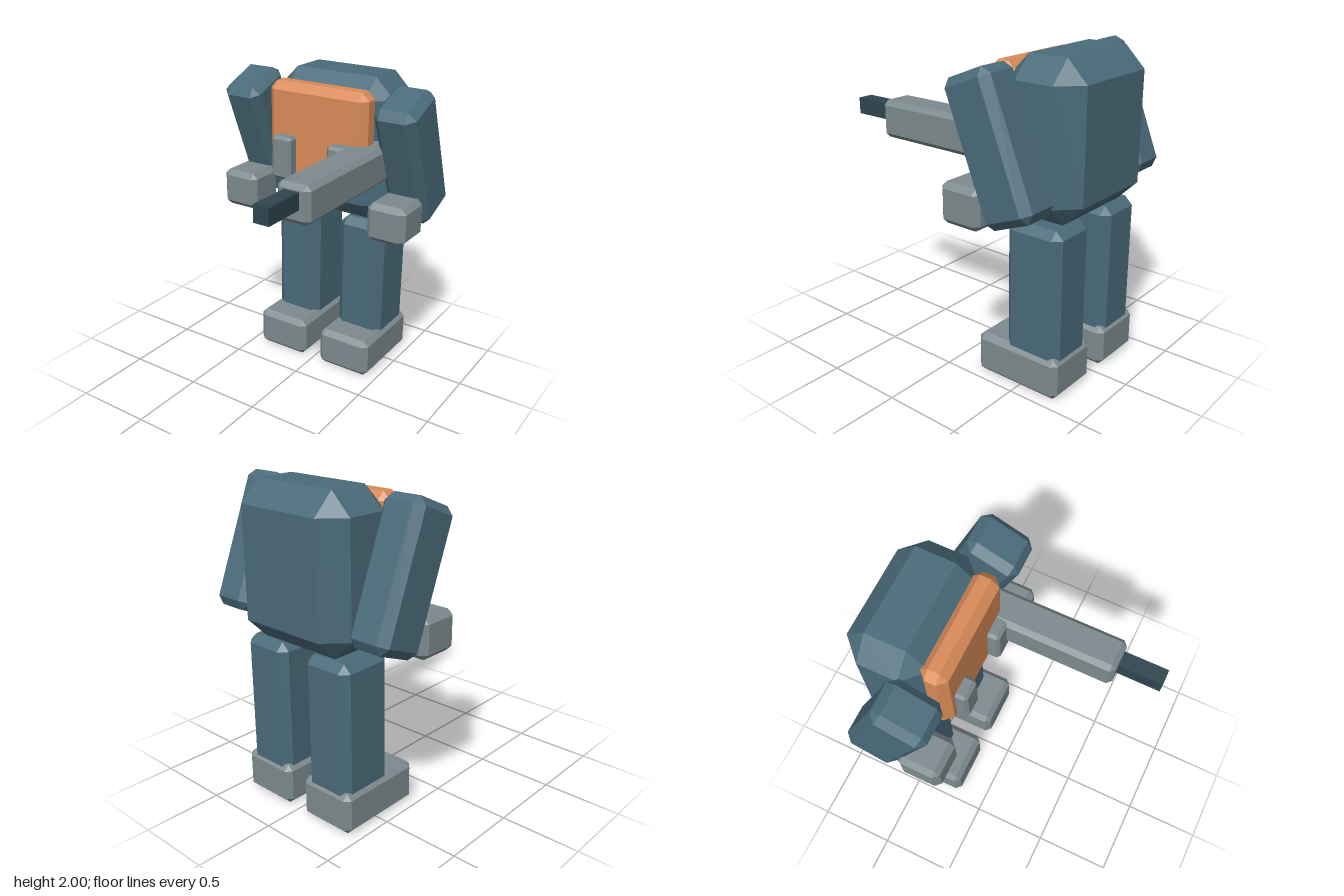
import * as THREE from 'three';
import { ConvexGeometry } from 'three/addons/geometries/ConvexGeometry.js';

function material(name, color) {
  const m = new THREE.MeshStandardMaterial({ color });
  m.name = name;
  return m;
}

// Box with every edge bevelled: three points around each corner
function bevelBox(w, h, d, c) {
  const points = [];
  for (const x of [-1, 1]) for (const y of [-1, 1]) for (const z of [-1, 1]) {
    for (let axis = 0; axis < 3; axis++) {
      const inset = [c, c, c];
      inset[axis] = 0;
      points.push(new THREE.Vector3(
        x * (w / 2 - inset[0]), y * (h / 2 - inset[1]), z * (d / 2 - inset[2])));
    }
  }
  return new ConvexGeometry(points);
}

export function createModel() {
  const model = new THREE.Group();
  model.name = 'robot';
  const blue = material('slate blue', 0x4a6b7a);
  const orange = material('orange', 0xd98b58);
  const grey = material('grey', 0x7d8a8e);
  const dark = material('dark blue', 0x2f454e);

  // Places a block by its limits along x, y and z
  function block(name, mat, [x0, x1], [y0, y1], [z0, z1], bevel) {
    const w = x1 - x0, h = y1 - y0, d = z1 - z0;
    const geo = bevel ? bevelBox(w, h, d, bevel) : new THREE.BoxGeometry(w, h, d);
    const mesh = new THREE.Mesh(geo, mat);
    mesh.name = name;
    mesh.position.set((x0 + x1) / 2, (y0 + y1) / 2, (z0 + z1) / 2);
    model.add(mesh);
    return mesh;
  }

  // Torso and chest plate
  block('torso', blue, [-0.42, 0.42], [1.06, 2], [-0.83, -0.32], 0.13);
  block('chestPlate', orange, [-0.36, 0.36], [1.29, 1.945], [-0.37, -0.2], 0.05);

  // Paired parts
  for (const [side, s] of [['left', 1], ['right', -1]]) {
    const span = (a, b) => (s > 0 ? [a, b] : [-b, -a]);
    block(side + 'ChestBlock', grey, span(0.135, 0.28), [1.33, 1.615], [-0.25, -0.125], 0.02);
    block(side + 'Leg', blue, span(0.083, 0.417), [0.15, 1.055], [-0.76, -0.38], 0.05);
    block(side + 'Foot', grey, span(0.06, 0.44), [0, 0.265], [-0.775, -0.187], 0.035);
    block(side + 'Hand', grey, span(0.425, 0.69), [1.055, 1.305], [-0.41, -0.13], 0.035);
    // Upper end of the arm leans forward
    const arm = block(side + 'Arm', blue, span(0.418, 0.697), [1.106, 1.961], [-0.63, -0.285], 0.05);
    arm.rotation.x = 0.38;
  }

  // Cannon beside the chest
  block('cannonBody', grey, [0.24, 0.46], [1.385, 1.62], [-0.45, 0.555], 0.03);
  block('cannonBarrel', dark, [0.3, 0.4], [1.48, 1.583], [0.45, 0.83], 0);

  return model;
}
